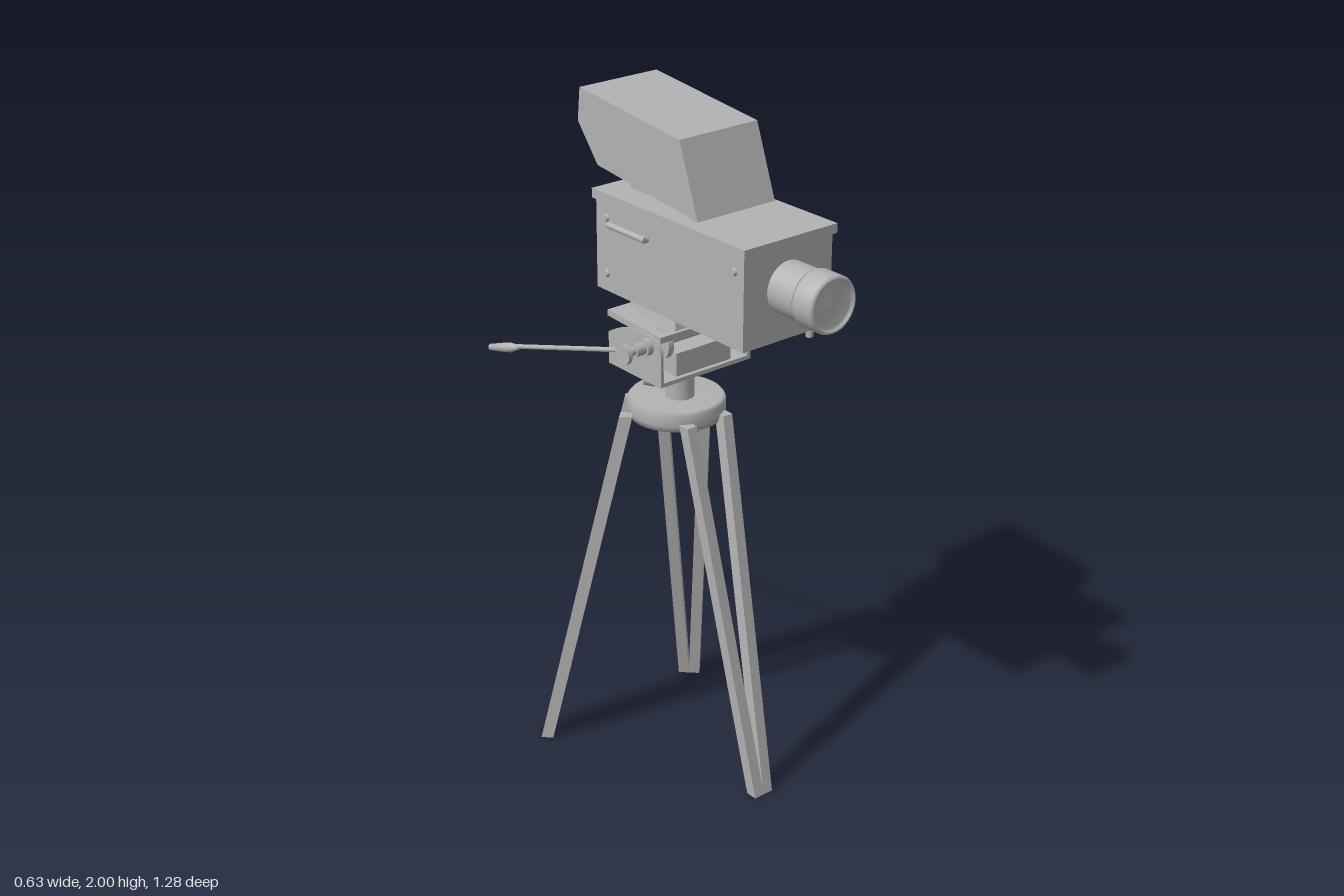
import * as THREE from 'three';

export function createModel() {
  const model = new THREE.Group();
  const grey = new THREE.MeshStandardMaterial({ color: 0xb2b2b2, side: THREE.DoubleSide });
  grey.name = 'grey';
  const CX = 0.008; // middle of the camera body and head

  function add(name, geometry, x = 0, y = 0, z = 0, parent = model) {
    const mesh = new THREE.Mesh(geometry, grey);
    mesh.name = name;
    mesh.position.set(x, y, z);
    parent.add(mesh);
    return mesh;
  }
  // Box given by its limits
  function box(name, x0, x1, y0, y1, z0, z1) {
    return add(name, new THREE.BoxGeometry(x1 - x0, y1 - y0, z1 - z0),
      (x0 + x1) / 2, (y0 + y1) / 2, (z0 + z1) / 2);
  }
  // Round bar between two points
  function rod(name, a, b, r0, r1 = r0, sides = 16) {
    const p = new THREE.Vector3(...a), q = new THREE.Vector3(...b);
    const d = q.clone().sub(p);
    const mesh = add(name, new THREE.CylinderGeometry(r1, r0, d.length(), sides));
    mesh.position.copy(p).add(q).multiplyScalar(0.5);
    mesh.quaternion.setFromUnitVectors(new THREE.Vector3(0, 1, 0), d.normalize());
    return mesh;
  }
  function lathe(name, pts, x, y, z, sides = 32) {
    return add(name, new THREE.LatheGeometry(pts.map(p => new THREE.Vector2(...p)), sides), x, y, z);
  }
  // Flat-shaded surface from corner triples
  function facets(name, triangles) {
    const g = new THREE.BufferGeometry();
    g.setAttribute('position', new THREE.Float32BufferAttribute(triangles.flat(2), 3));
    g.computeVertexNormals();
    return add(name, g);
  }

  // Tripod legs: two sheared bars meeting at the foot
  const legs = [['frontLeg', 0.006, 0.148, 0], ['leftLeg', 0.1, -0.063, 0.75], ['rightLeg', -0.1, -0.063, -0.75]];
  for (const [name, x, z, turn] of legs) {
    const leg = new THREE.Group();
    leg.name = name;
    leg.position.set(x, 0, z);
    leg.rotation.y = turn * Math.PI;
    model.add(leg);
    for (const s of [-1, 1]) {
      const g = new THREE.BoxGeometry(0.033, 1.11, 0.036).translate(0, 0.555, 0);
      const p = g.attributes.position;
      for (let i = 0; i < p.count; i++) {
        const t = p.getY(i) / 1.11;
        p.setX(i, p.getX(i) + s * (0.016 + 0.049 * t));
        p.setZ(i, p.getZ(i) + 0.255 * (1 - t));
      }
      g.computeVertexNormals();
      add('legBar', g, 0, 0, 0, leg);
    }
  }

  // Tripod crown and centre column
  lathe('tripodCrown', [[0, 0], [0.1, 0], [0.134, 0.012], [0.14, 0.03], [0.14, 0.062], [0.132, 0.072], [0, 0.072]],
    CX, 1.073, 0.018);
  rod('column', [CX, 1.14, 0.033], [CX, 1.26, 0.033], 0.041);
  rod('columnScrew', [-0.01, 1.2, 0.01], [-0.052, 1.2, -0.02], 0.012);
  rod('columnKnob', [-0.045, 1.2, -0.015], [-0.07, 1.2, -0.034], 0.03, 0.024);

  // Head bracket: floor, rounded cheeks and inner block
  box('bracketFloor', -0.155, 0.168, 1.25, 1.262, -0.08, 0.148);
  const cheek = new THREE.Shape();
  cheek.moveTo(-0.148, 1.25);
  cheek.lineTo(0.08, 1.25);
  cheek.lineTo(0.08, 1.345);
  cheek.quadraticCurveTo(0.01, 1.39, -0.07, 1.39);
  cheek.quadraticCurveTo(-0.148, 1.39, -0.148, 1.34);
  for (const x of [-0.155, 0.158]) {
    const g = new THREE.ExtrudeGeometry(cheek, { depth: 0.01, bevelEnabled: false, curveSegments: 8 });
    add('bracketCheek', g.rotateY(Math.PI / 2), x, 0, 0);
  }
  box('headBlock', -0.09, 0.105, 1.262, 1.33, -0.07, 0.135);
  const plate = box('tiltPlate', -0.15, 0.165, 1.382, 1.4, -0.09, 0.14);
  plate.rotation.x = 0.05;
  box('plateLatch', -0.02, 0.04, 1.363, 1.38, -0.1, -0.04);

  // Tilt axle with lugs, collars and end knobs
  rod('tiltAxle', [-0.24, 1.357, 0.095], [0.256, 1.357, 0.095], 0.012);
  for (const s of [-1, 1]) {
    const at = d => [CX + s * d, 1.357, 0.095];
    rod('axleLug', at(0.11), at(0.128), 0.045, 0.045, 20);
    rod('axleCollar', at(0.14), at(0.182), 0.024);
    rod('axleSleeve', at(0.182), at(0.213), 0.018);
    rod('axleKnob', at(0.241), at(0.254), 0.03, 0.03, 20);
  }

  // Pan handle with grip
  rod('handleJoint', [-0.15, 1.345, 0.075], [-0.172, 1.333, 0.045], 0.013);
  rod('handleRod', [-0.172, 1.335, 0.05], [-0.172, 1.165, -0.5], 0.007);
  const grip = lathe('handleGrip', [[0, 0], [0.007, 0], [0.015, 0.045], [0.014, 0.075], [0.01, 0.15], [0, 0.155]],
    -0.172, 1.165, -0.49, 16);
  grip.rotation.x = -Math.PI / 2 - 0.31;

  // Tapered mount under the camera
  const mount = new THREE.CylinderGeometry(0.125, 0.145, 0.06, 4, 1).rotateY(Math.PI / 4).toNonIndexed();
  mount.computeVertexNormals();
  add('cameraMount', mount, CX, 1.428, 0.033);
  box('mountRail', -0.09, 0.106, 1.445, 1.46, -0.08, 0.145);

  // Camera body and lid
  box('cameraBody', -0.145, 0.16, 1.458, 1.715, -0.14, 0.468);
  box('bodyLid', -0.152, 0.168, 1.715, 1.742, -0.15, 0.477);

  // Side screws, grab handles and latches
  for (const s of [-1, 1]) {
    const side = CX + s * 0.152;
    for (const [y, z] of [[1.67, 0.43], [1.67, -0.095], [1.51, -0.095]])
      rod('sideScrew', [side, y, z], [side + s * 0.009, y, z], 0.012, 0.009);
    const a = side + s * 0.012;
    rod('grabHandle', [a, 1.658, -0.075], [a, 1.658, 0.085], 0.009);
    for (const z of [-0.068, 0.078]) rod('handlePost', [side, 1.658, z], [a, 1.658, z], 0.009);
  }
  box('sideLatch', 0.16, 0.168, 1.465, 1.488, -0.08, 0.06);
  rod('latchKnob', [0.16, 1.477, 0.04], [0.18, 1.477, 0.04], 0.012);
  rod('frontPeg', [0.125, 1.46, 0.43], [0.125, 1.42, 0.43], 0.013, 0.01);

  // Lens barrel, hood ring and recessed glass
  rod('lensBarrel', [CX, 1.603, 0.46], [CX, 1.603, 0.575], 0.073, 0.073, 32);
  const ring = lathe('lensRing', [[0, 0], [0.076, 0], [0.08, 0.008], [0.08, 0.068], [0.076, 0.076],
    [0.068, 0.076], [0.066, 0.064], [0, 0.069]], CX, 1.603, 0.563);
  ring.rotation.x = Math.PI / 2;

  // Rear control panel with buttons and focus crank
  box('controlPanel', -0.125, 0.14, 1.565, 1.7, -0.146, -0.139);
  for (const y of [1.613, 1.655])
    for (let i = 0; i < 4; i++) {
      const x = CX - 0.09 + i * 0.06;
      rod('button', [x, y, -0.145], [x, y, -0.156], 0.012);
    }
  rod('rearKnob', [0.1, 1.52, -0.138], [0.1, 1.52, -0.156], 0.015);
  rod('crankShaft', [-0.04, 1.485, 0.0], [-0.04, 1.485, -0.222], 0.005);
  rod('crankDisc', [-0.04, 1.485, -0.22], [-0.04, 1.485, -0.227], 0.03, 0.03, 20);

  // Viewfinder hood: side profile [z, y] swept across, open at the back
  box('hoodNeck', -0.07, 0.085, 1.74, 1.82, -0.085, 0.05);
  const profile = [[-0.155, 1.8], [0.265, 1.752], [0.19, 1.955], [-0.23, 2.0], [-0.24, 1.905]];
  const L = profile.map(([z, y]) => [0.14, y, z]);
  const R = profile.map(([z, y]) => [-0.127, y, z]);
  const quad = (a, b, c, d) => [[a, b, c], [a, c, d]];
  const shell = [];
  for (let i = 0; i < 3; i++) shell.push(...quad(L[i], L[i + 1], R[i + 1], R[i]));
  for (let i = 1; i < 4; i++) shell.push([L[0], L[i + 1], L[i]], [R[0], R[i], R[i + 1]]);
  facets('hoodShell', shell);

  // Funnel from the opening to the small screen
  const rim = [L[0], L[4], L[3], R[3], R[4], R[0]];
  const inner = [[0.065, 1.835], [0.065, 1.885], [0.065, 1.935], [-0.052, 1.935], [-0.052, 1.885], [-0.052, 1.835]]
    .map(([x, y]) => [x, y, -0.08]);
  const funnel = [];
  rim.forEach((p, i) => {
    const j = (i + 1) % 6;
    funnel.push(...quad(p, rim[j], inner[j], inner[i]));
  });
  facets('hoodFunnel', funnel);
  facets('screen', quad(inner[0], inner[5], inner[3], inner[2]));

  return model;
}
